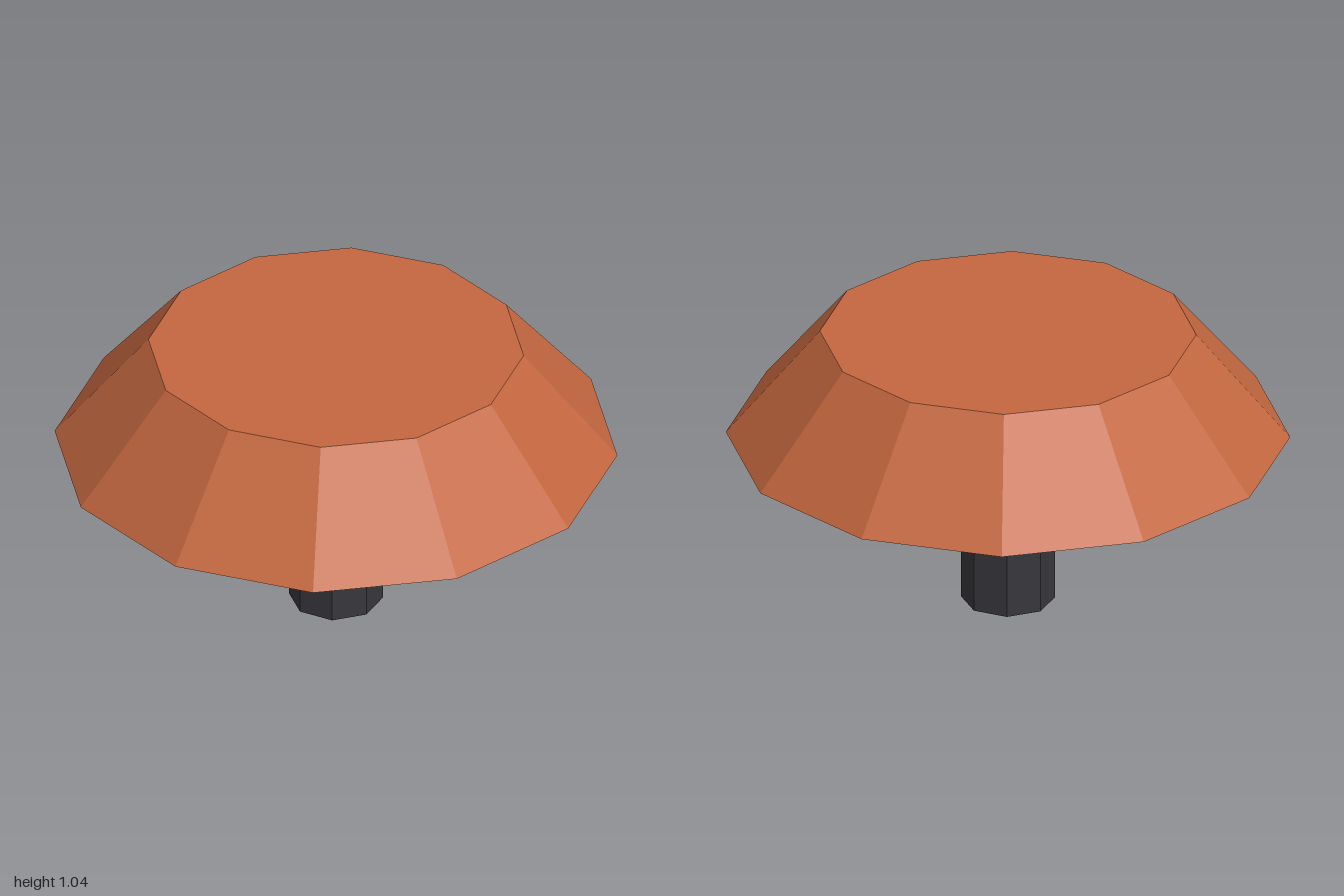
import * as THREE from 'three';

// Faceted frustum standing on height y
function frustum(name, rTop, rBottom, y, height, sides, material) {
  const geometry = new THREE.CylinderGeometry(rTop, rBottom, height, sides).toNonIndexed();
  geometry.computeVertexNormals();
  const mesh = new THREE.Mesh(geometry, material);
  mesh.position.y = y + height / 2;
  mesh.name = name;
  return mesh;
}

export function createModel() {
  const model = new THREE.Group();
  model.name = 'knob';

  const copper = new THREE.MeshStandardMaterial({ color: 0xc4673f });
  copper.name = 'copper orange';
  copper.flatShading = true;
  const charcoal = new THREE.MeshStandardMaterial({ color: 0x38373c });
  charcoal.name = 'charcoal';
  charcoal.flatShading = true;

  // Eight-sided stem and wide twelve-sided cap
  model.add(frustum('stem', 0.167, 0.167, 0, 0.637, 8, charcoal));
  model.add(frustum('cap', 0.667, 1, 0.637, 0.4, 12, copper));
  return model;
}
